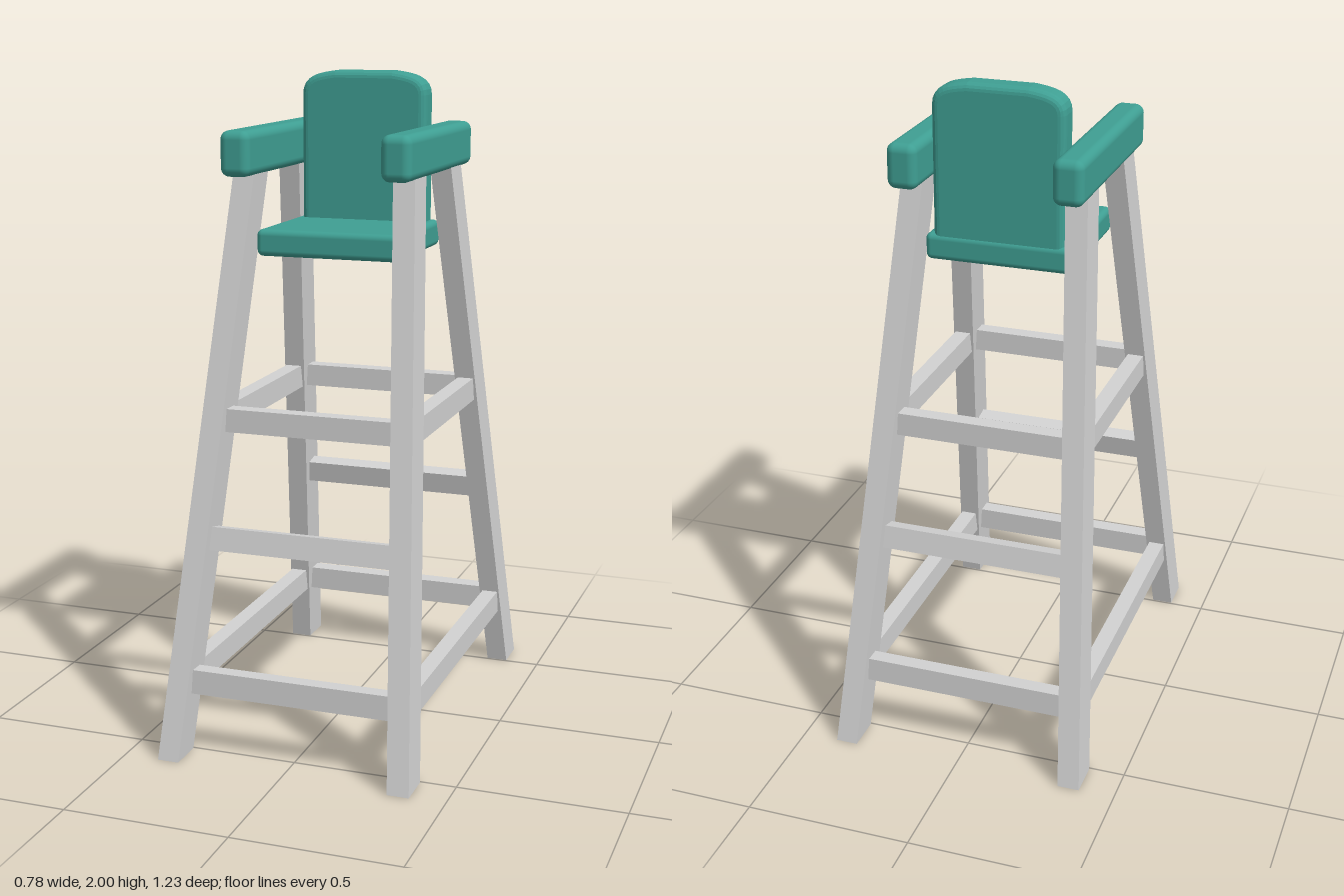
import * as THREE from 'three';
import { RoundedBoxGeometry } from 'three/addons/geometries/RoundedBoxGeometry.js';

const LEG_TOP = 1.73;
// Leg centre line at height y: the legs lean inwards in both directions
const legX = (y) => 0.359 - 0.0655 * y;
const legZ = (y) => 0.56 - 0.2193 * y;

// Hollow, open-ended leg with horizontal cuts, sheared along the leaning line
function legGeometry(sx, sz) {
  const g = new THREE.BoxGeometry(0.066, LEG_TOP, 0.11);
  g.translate(0, LEG_TOP / 2, 0);
  const index = Array.from(g.index.array);
  index.splice(12, 12); // remove top and bottom faces
  g.setIndex(index);
  const p = g.attributes.position;
  for (let i = 0; i < p.count; i++) {
    const y = p.getY(i);
    p.setX(i, p.getX(i) + sx * legX(y));
    p.setZ(i, p.getZ(i) + sz * legZ(y));
  }
  g.computeVertexNormals();
  return g;
}

// Backrest outline with softly crowned top
function backrestGeometry() {
  const b = 0.022, w = 0.2 - b, top = 2 - b, bottom = 1.5;
  const s = new THREE.Shape();
  s.moveTo(-w, bottom);
  s.lineTo(w, bottom);
  s.lineTo(w, top - 0.05);
  s.bezierCurveTo(w, top - 0.015, w - 0.03, top - 0.008, 0.09, top);
  s.lineTo(-0.09, top);
  s.bezierCurveTo(-w + 0.03, top - 0.008, -w, top - 0.015, -w, top - 0.05);
  s.closePath();
  const g = new THREE.ExtrudeGeometry(s, {
    depth: 0.088 - 2 * b, bevelEnabled: true, bevelThickness: b,
    bevelSize: b, bevelSegments: 4, curveSegments: 8,
  });
  g.translate(0, 0, -0.205 + b);
  return g;
}

export function createModel() {
  const group = new THREE.Group();
  const wood = new THREE.MeshStandardMaterial({ color: 0xd2d2d2, side: THREE.DoubleSide });
  wood.name = 'pale grey frame';
  const cushion = new THREE.MeshStandardMaterial({ color: 0x3f9f93 });
  cushion.name = 'teal padding';

  const add = (name, geometry, material, x = 0, y = 0, z = 0) => {
    const m = new THREE.Mesh(geometry, material);
    m.name = name;
    m.position.set(x, y, z);
    group.add(m);
    return m;
  };

  // Four splayed legs
  for (const sz of [1, -1]) {
    for (const sx of [1, -1]) {
      add(`${sz > 0 ? 'front' : 'back'}${sx > 0 ? 'Left' : 'Right'}Leg`, legGeometry(sx, sz), wood);
    }
  }

  // Front and back rungs: height, bar height, tilt
  const rungs = [[0.227, 0.074, 0.03], [0.645, 0.07, 0.215], [0.995, 0.07, 0.01]];
  for (const sz of [1, -1]) {
    for (const [y, h, tilt] of rungs) {
      const length = 2 * (legX(y) - 0.02);
      const r = add(sz > 0 ? 'frontRung' : 'backRung',
        new THREE.BoxGeometry(length, h, 0.05), wood, 0, y, sz * legZ(y));
      r.rotation.x = -sz * tilt;
    }
  }

  // Side rungs
  for (const sx of [1, -1]) {
    for (const y of [0.227, 0.995]) {
      const length = 2 * (legZ(y) - 0.04);
      add(sx > 0 ? 'leftRung' : 'rightRung',
        new THREE.BoxGeometry(0.05, 0.073, length), wood, sx * legX(y), y, 0);
    }
  }

  // Padded seat, backrest and armrests
  add('seat', new RoundedBoxGeometry(0.446, 0.08, 0.42, 4, 0.018), cushion, 0, 1.506, 0);
  add('backrest', backrestGeometry(), cushion);
  for (const sx of [1, -1]) {
    add(sx > 0 ? 'leftArmrest' : 'rightArmrest',
      new RoundedBoxGeometry(0.092, 0.134, 0.655, 4, 0.026), cushion, sx * 0.245, 1.776, -0.003);
  }
  return group;
}
